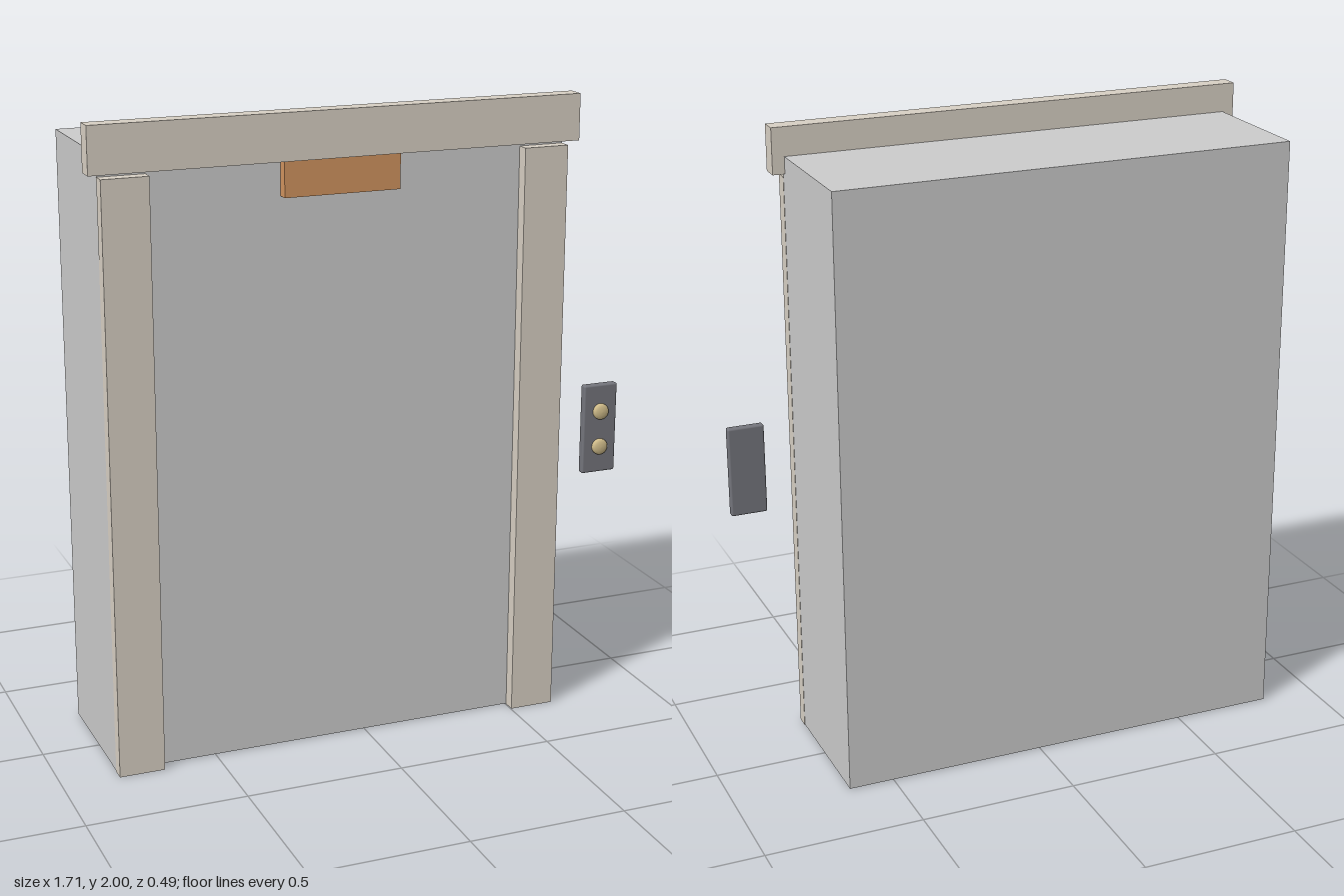
import * as THREE from 'three';
import { RoundedBoxGeometry } from 'three/addons/geometries/RoundedBoxGeometry.js';

const material = (color) => new THREE.MeshStandardMaterial({ color });
const grey = material(0xcccccc);
const trim = material(0xd8d0c4);
const orange = material(0xd2945f);
const brown = material(0x8a6a52);
const dark = material(0x74757c);
const brass = material(0xd0bc8a);

// Box given by its minimum and maximum corners
function box(name, [x0, y0, z0], [x1, y1, z1], mat, radius = 0) {
  const size = [x1 - x0, y1 - y0, z1 - z0];
  const geometry = radius
    ? new RoundedBoxGeometry(...size, 3, radius)
    : new THREE.BoxGeometry(...size);
  const mesh = new THREE.Mesh(geometry, mat);
  mesh.name = name;
  mesh.position.set((x0 + x1) / 2, (y0 + y1) / 2, (z0 + z1) / 2);
  return mesh;
}

export function createModel() {
  const model = new THREE.Group();
  model.name = 'elevator';

  // Closed cabin
  model.add(box('cabin', [-0.82, 0.002, -0.245], [0.645, 1.91, 0.2], grey));

  // Floor mat, level with the underside
  model.add(box('floorMat', [-0.64, 0, -0.2], [0.465, 0.006, 0.165], brown));

  // Door frame: two jambs and an overhanging lintel
  const centre = -0.0875;
  for (const side of [-1, 1]) {
    const inner = centre + side * 0.59;
    const outer = centre + side * 0.7335;
    model.add(box(side < 0 ? 'rightJamb' : 'leftJamb',
      [Math.min(inner, outer), 0, 0.198], [Math.max(inner, outer), 1.845, 0.24], trim));
  }
  model.add(box('lintel', [-0.857, 1.857, 0.183], [0.683, 2, 0.24], trim));

  // Floor indicator hanging below the lintel
  model.add(box('floorIndicator', [-0.27, 1.75, 0.19], [0.095, 1.87, 0.236], orange));

  // Call panel standing clear of the frame
  const panel = new THREE.Group();
  panel.name = 'callPanel';
  panel.add(box('panelPlate', [0.737, 0.777, 0.205], [0.853, 1.068, 0.231], dark, 0.006));

  // Round buttons with a softly domed cap
  const profile = [[0.026, 0], [0.026, 0.012], [0.024, 0.016], [0.018, 0.019], [0.009, 0.021], [0, 0.0215]]
    .map(([r, h]) => new THREE.Vector2(r, h));
  const buttonGeometry = new THREE.LatheGeometry(profile, 32).rotateX(Math.PI / 2);
  [['upButton', 0.98], ['downButton', 0.863]].forEach(([name, y]) => {
    const button = new THREE.Mesh(buttonGeometry, brass);
    button.name = name;
    button.position.set(0.795, y, 0.226);
    panel.add(button);
  });
  model.add(panel);

  return model;
}
